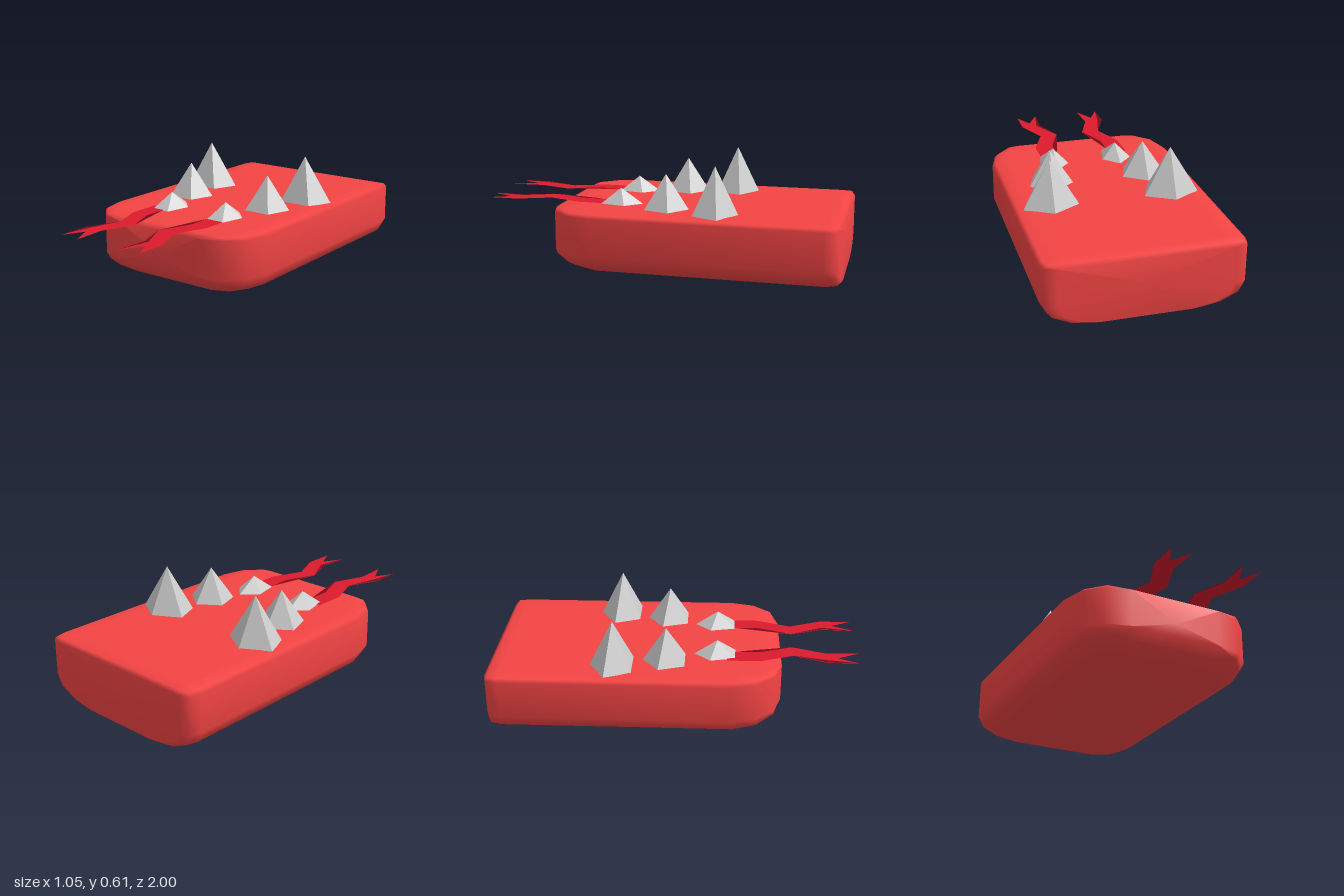
import * as THREE from 'three';

const red = new THREE.MeshStandardMaterial({ color: 0xf44444 });
const grey = new THREE.MeshStandardMaterial({ color: 0xcccccc, flatShading: true });
const crimson = new THREE.MeshStandardMaterial({ color: 0xdc1a2e, side: THREE.DoubleSide });
const darkRed = new THREE.MeshStandardMaterial({ color: 0x7c0a18, side: THREE.DoubleSide });

// Rounded slab: one cross-section carried through stations along z
function slabGeometry() {
  const half = [[0.265, 0], [0.395, 0.02], [0.49, 0.065], [0.525, 0.13],
    [0.525, 0.335], [0.505, 0.35], [0.43, 0.357]];
  const ring = [...half, ...half.map(([x, y]) => [-x, y]).reverse()];
  // z, half width, bottom, top
  const stations = [
    [-1, 0.45, 0.02, 0.335], [-0.98, 0.51, 0.008, 0.35], [-0.92, 0.525, 0, 0.357],
    [0.31, 0.525, 0, 0.357], [0.44, 0.49, 0.02, 0.357],
    [0.535, 0.40, 0.065, 0.354], [0.575, 0.265, 0.13, 0.335],
  ];
  const n = ring.length, last = stations.length - 1;
  const pos = [], index = [];
  for (const [z, w, b, t] of stations) {
    for (const [x, y] of ring) {
      const lifted = y < 0.13 ? b + y * (0.13 - b) / 0.13 : y;
      pos.push(x * w / 0.525, Math.min(lifted, t), z);
    }
  }
  for (let s = 0; s < last; s++) {
    for (let i = 0; i < n; i++) {
      const a = s * n + i, b = s * n + (i + 1) % n;
      index.push(a, b, b + n, a, b + n, a + n);
    }
  }
  // End caps
  const back = pos.length / 3, front = back + 1;
  pos.push(0, 0.2, -1, 0, 0.2, 0.575);
  for (let i = 0; i < n; i++) {
    const j = (i + 1) % n;
    index.push(back, j, i, front, last * n + i, last * n + j);
  }
  const g = new THREE.BufferGeometry();
  g.setAttribute('position', new THREE.Float32BufferAttribute(pos, 3));
  g.setIndex(index);
  g.computeVertexNormals();
  return g;
}

// Flat sheet from [x, z] points, lying at height y
function sheet(points, y, material, name) {
  const shape = new THREE.Shape(points.map(([x, z]) => new THREE.Vector2(x, -z)));
  const g = new THREE.ShapeGeometry(shape);
  g.rotateX(-Math.PI / 2);
  const mesh = new THREE.Mesh(g, material);
  mesh.position.y = y;
  mesh.name = name;
  return mesh;
}

export function createModel() {
  const model = new THREE.Group();
  model.name = 'spikedSlab';

  const body = new THREE.Mesh(slabGeometry(), red);
  body.name = 'body';
  model.add(body);

  // Two rows of five-sided spikes: x, z, half-width radius, tip height
  const spikes = [[0.33, -0.328, 0.158, 0.61], [0.265, -0.048, 0.129, 0.545], [0.185, 0.227, 0.089, 0.44]];
  const base = 0.355;
  for (const side of [-1, 1]) {
    spikes.forEach(([x, z, r, tip], i) => {
      const g = new THREE.ConeGeometry(1, 1, 5);
      g.rotateY(Math.PI);
      g.scale(r, tip - base, 0.127);
      const spike = new THREE.Mesh(g, grey);
      spike.position.set(side * x, (tip + base) / 2, z);
      spike.name = (side > 0 ? 'leftSpike' : 'rightSpike') + (i + 1);
      model.add(spike);
    });
  }

  // Forked ribbons at the front, the second reflected and nudged inward
  const outline = [[-0.268, 0.28], [-0.268, 0.46], [-0.198, 0.64], [-0.273, 0.82], [-0.273, 0.99],
    [-0.217, 0.88], [-0.155, 1], [-0.163, 0.82], [-0.096, 0.64], [-0.165, 0.33], [-0.165, 0.28]];
  const upperFold = [[-0.165, 0.33], [-0.165, 0.46], [-0.125, 0.57], [-0.096, 0.64]];
  const outerFold = [[-0.198, 0.64], [-0.273, 0.82], [-0.273, 0.99], [-0.245, 0.82]];
  const innerFold = [[-0.096, 0.64], [-0.163, 0.82], [-0.155, 1], [-0.185, 0.82]];
  const flip = (pts) => pts.map(([x, z]) => [-x - 0.03, z]);
  model.add(
    sheet(outline, 0.36, crimson, 'rightRibbon'),
    sheet(upperFold, 0.362, darkRed, 'rightRibbonUpperFold'),
    sheet(outerFold, 0.362, darkRed, 'rightRibbonLowerFold'),
    sheet(flip(outline), 0.36, crimson, 'leftRibbon'),
    sheet(flip(upperFold), 0.362, darkRed, 'leftRibbonUpperFold'),
    sheet(flip(innerFold), 0.362, darkRed, 'leftRibbonLowerFold'),
  );
  return model;
}
